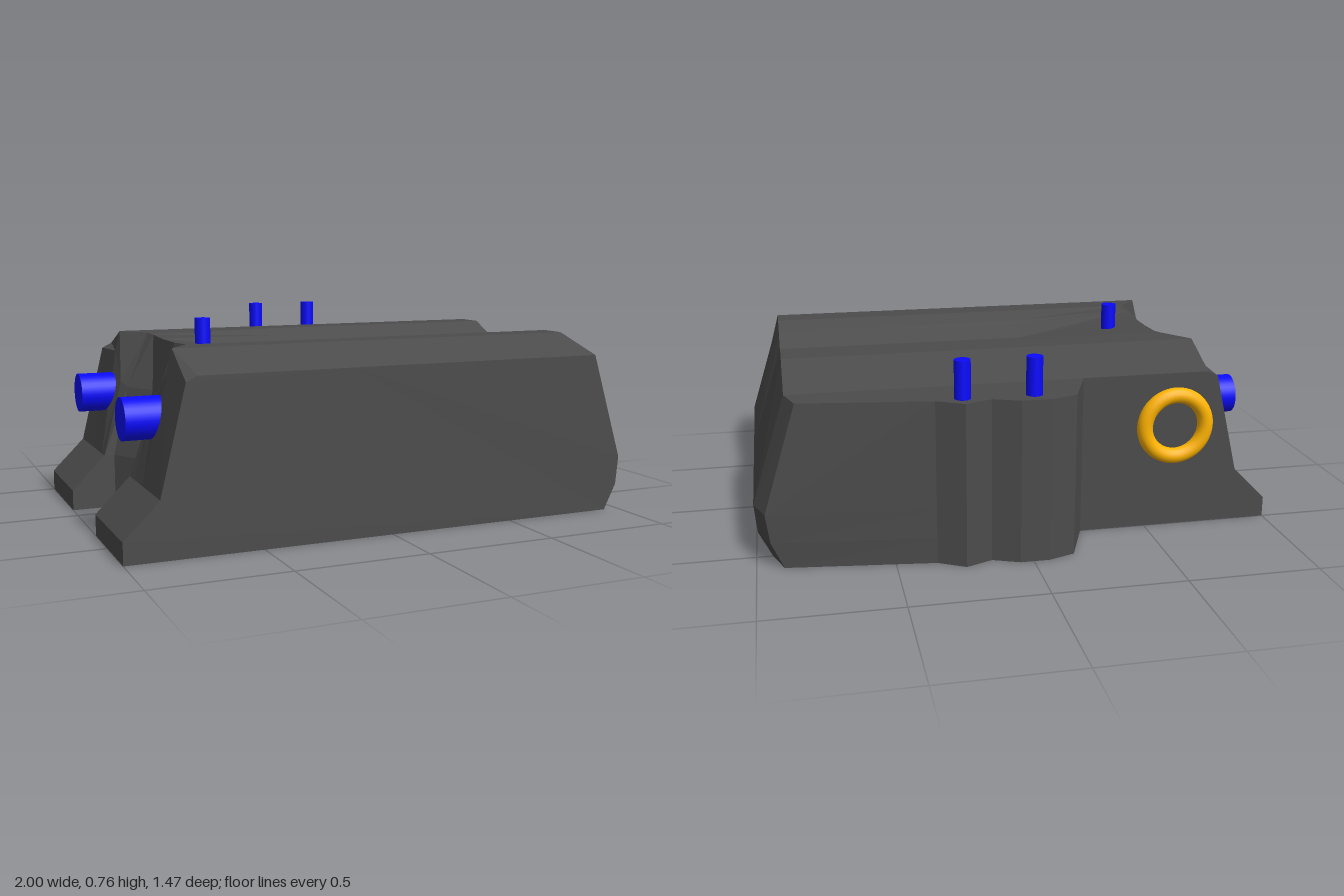
import * as THREE from 'three';

const grey = new THREE.MeshStandardMaterial({ color: 0x4c4c4c, flatShading: true });
const blue = new THREE.MeshStandardMaterial({ color: 0x0a0aff });
const gold = new THREE.MeshStandardMaterial({ color: 0xffb400 });

// Joins rings of [x, y, z] points into a closed faceted solid; u, v are the cap plane axes.
function loft(rings, u, v) {
  const R = rings.map((r) => r.map((p) => new THREE.Vector3(...p)));
  const n = R[0].length, pos = [];
  const normal = (a, b, c) => b.clone().sub(a).cross(c.clone().sub(a));
  const tri = (a, b, c) => {
    if (normal(a, b, c).length() > 1e-7) for (const p of [a, b, c]) pos.push(p.x, p.y, p.z);
  };
  for (let k = 0; k < R.length - 1; k++) {
    for (let i = 0; i < n; i++) {
      const j = (i + 1) % n, A = R[k], B = R[k + 1];
      tri(A[i], A[j], B[j]);
      tri(A[i], B[j], B[i]);
    }
  }
  const axis = R[R.length - 1][0].clone().sub(R[0][0]);
  for (const [ring, sign] of [[R[0], -1], [R[R.length - 1], 1]]) {
    const flat = ring.map((p) => new THREE.Vector2(p[u], p[v]));
    for (const [a, b, c] of THREE.ShapeUtils.triangulateShape(flat, [])) {
      const out = normal(ring[a], ring[b], ring[c]).dot(axis) * sign > 0;
      if (out) tri(ring[a], ring[b], ring[c]);
      else tri(ring[a], ring[c], ring[b]);
    }
  }
  const g = new THREE.BufferGeometry();
  g.setAttribute('position', new THREE.Float32BufferAttribute(pos, 3));
  g.computeVertexNormals();
  return g;
}

export function createModel() {
  const model = new THREE.Group();
  const add = (name, geometry, material, x = 0, y = 0, z = 0) => {
    const mesh = new THREE.Mesh(geometry, material);
    mesh.name = name;
    mesh.position.set(x, y, z);
    model.add(mesh);
    return mesh;
  };

  // Main body: sections along z, with two humps, a trough and two toes
  // [z, top y, crest x, crest y, shoulder x, shoulder y, knee x, toe x]
  const stations = [
    [-0.50, 0.62, -0.735, 0.62, -0.775, 0.60, -0.87, -1],
    [-0.26, 0.69, -0.755, 0.69, -0.775, 0.61, -0.87, -1],
    [-0.14, 0.69, -0.67, 0.69, -0.785, 0.50, -0.87, -1],
    [-0.09, 0.665, -0.66, 0.685, -0.77, 0.48, -0.87, -1],
    [-0.09, 0.665, -0.66, 0.685, -0.77, 0.48, -0.83, -0.83],
    [0.03, 0.61, -0.66, 0.68, -0.70, 0.48, -0.76, -0.76],
    [0.21, 0.61, -0.66, 0.68, -0.70, 0.48, -0.76, -0.76],
    [0.30, 0.65, -0.66, 0.685, -0.76, 0.48, -0.81, -0.81],
    [0.32, 0.66, -0.66, 0.685, -0.775, 0.48, -0.87, -0.87],
    [0.32, 0.66, -0.66, 0.685, -0.775, 0.48, -0.87, -1],
    [0.39, 0.69, -0.67, 0.69, -0.785, 0.50, -0.87, -1],
    [0.50, 0.69, -0.755, 0.69, -0.775, 0.61, -0.87, -1],
    [0.73, 0.62, -0.735, 0.62, -0.775, 0.60, -0.87, -1],
  ];
  const sections = stations.map(([z, top, cx, cy, sx, sy, kx, tx]) => [
    [0.94, 0, z], [0.99, 0.1, z], [1, 0.21, z], [0.87, top, z], [-0.16, top, z],
    [cx, cy, z], [sx, sy, z], [kx, 0.21, z], [tx, 0.08, z], [tx, 0, z],
  ]);
  add('body', loft(sections, 'x', 'y'), grey);

  // Rear bulge: one outline stacked in layers, its right end following the body side
  const outline = [[0.35, -0.68], [0.25, -0.735], [0.15, -0.695], [0.05, -0.735],
    [-0.06, -0.735], [-0.16, -0.7], [-0.24, -0.5]];
  const layers = [[0, 0.94, 0.9], [0.1, 0.99, 0.945], [0.21, 1, 0.96], [0.62, 0.87, 0.835]];
  add('rearBulge', loft(layers.map(([y, side, corner]) => [
    [side, y, -0.5], [corner, y, -0.612], ...outline.map(([x, z]) => [x, y, z]),
  ]), 'x', 'z'), grey);

  // Upright pins
  const pin = new THREE.CylinderGeometry(0.03, 0.03, 0.165, 24);
  for (const [name, x, z] of [['trenchPin', -0.52, 0.115], ['rearPinA', -0.01, -0.668], ['rearPinB', 0.25, -0.665]]) {
    add(name, pin, blue, x, 0.68, z);
  }

  // Sideways pegs above the toes
  const peg = new THREE.CylinderGeometry(0.077, 0.077, 0.19, 32).rotateZ(Math.PI / 2);
  for (const [name, z] of [['rearPeg', -0.243], ['frontPeg', 0.467]]) add(name, peg, blue, -0.84, 0.447, z);

  // Ring on the back wall
  add('backRing', new THREE.TorusGeometry(0.122, 0.031, 16, 48), gold, -0.61, 0.41, -0.502);

  return model;
}
